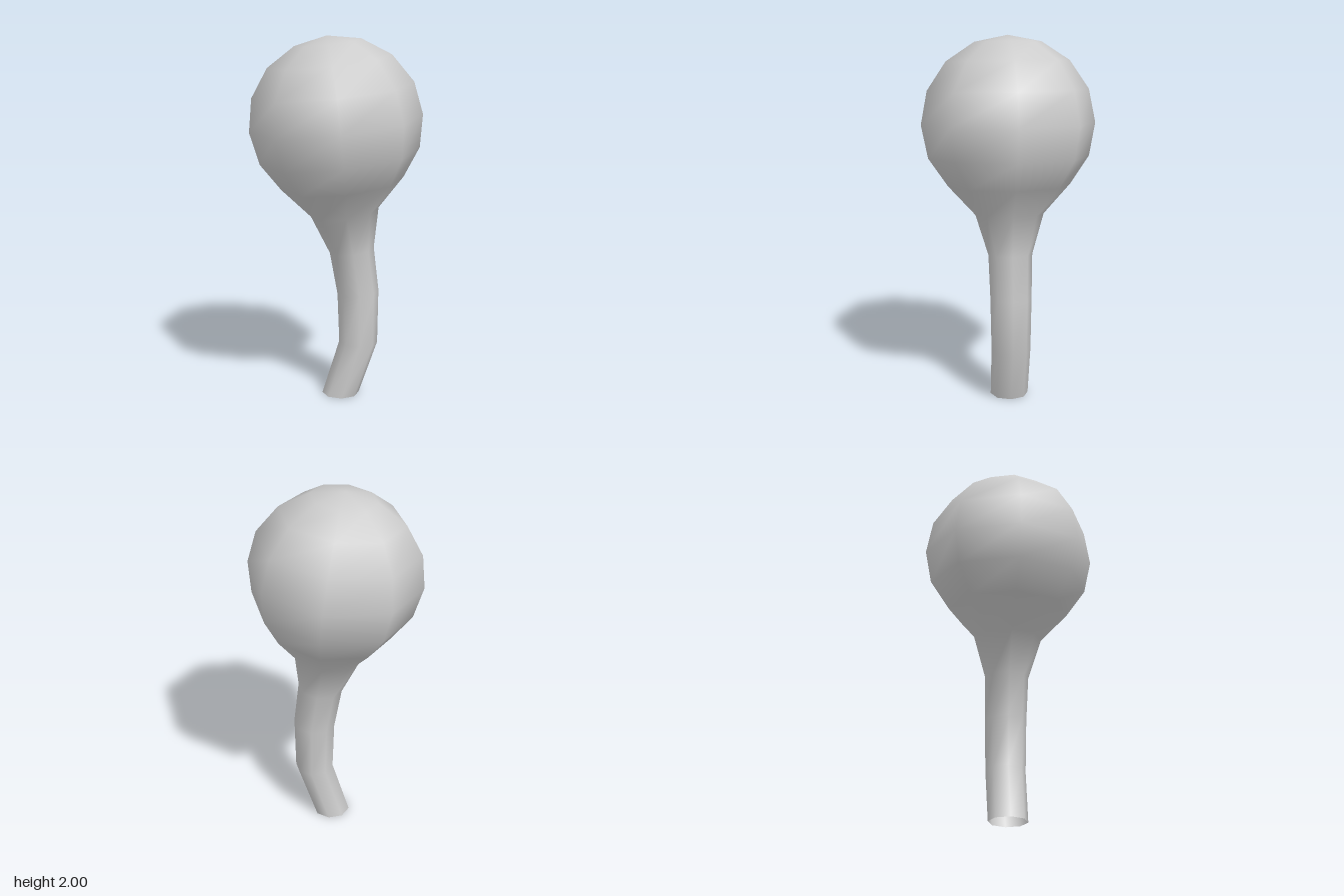
import * as THREE from 'three';

// Cross-sections from foot to crown: left x, left y, right x, right y, half depth
const RINGS = [
  [-0.08, 0, 0.125, 0, 0.105],
  [0.015, 0.305, 0.228, 0.295, 0.108],
  [0.005, 0.58, 0.233, 0.6, 0.113],
  [-0.037, 0.815, 0.205, 0.845, 0.12],
  [-0.14, 1.02, 0.23, 1.07, 0.186],
  [-0.3, 1.17, 0.365, 1.24, 0.332],
  [-0.415, 1.31, 0.45, 1.4, 0.435],
  [-0.47, 1.485, 0.465, 1.58, 0.47],
  [-0.455, 1.67, 0.415, 1.755, 0.435],
  [-0.37, 1.83, 0.295, 1.9, 0.332],
  [-0.225, 1.945, 0.13, 1.985, 0.18],
];
const CROWN = [-0.053, 2, 0];
const SIDES = 8;

// Skin of tilted eight-sided rings, open at the foot and closed at the crown
function bulbGeometry() {
  const positions = [];
  const index = [];
  for (const [lx, ly, rx, ry, depth] of RINGS) {
    for (let i = 0; i < SIDES; i++) {
      const a = (i / SIDES) * Math.PI * 2;
      const t = (1 + Math.cos(a)) / 2;
      positions.push(lx + (rx - lx) * t, ly + (ry - ly) * t, depth * Math.sin(a));
    }
  }
  const top = RINGS.length * SIDES;
  positions.push(...CROWN);
  for (let r = 0; r < RINGS.length; r++) {
    for (let i = 0; i < SIDES; i++) {
      const a = r * SIDES + i;
      const b = r * SIDES + ((i + 1) % SIDES);
      if (r === RINGS.length - 1) index.push(a, top, b);
      else index.push(a, a + SIDES, b, b, a + SIDES, b + SIDES);
    }
  }
  const geometry = new THREE.BufferGeometry();
  geometry.setAttribute('position', new THREE.Float32BufferAttribute(positions, 3));
  geometry.setIndex(index);
  geometry.computeVertexNormals();
  return geometry;
}

export function createModel() {
  const group = new THREE.Group();
  const grey = new THREE.MeshStandardMaterial({ color: 0xcccccc, side: THREE.DoubleSide });
  grey.name = 'lightGrey';
  const bulb = new THREE.Mesh(bulbGeometry(), grey);
  bulb.name = 'bulbAndStem';
  group.add(bulb);
  return group;
}
